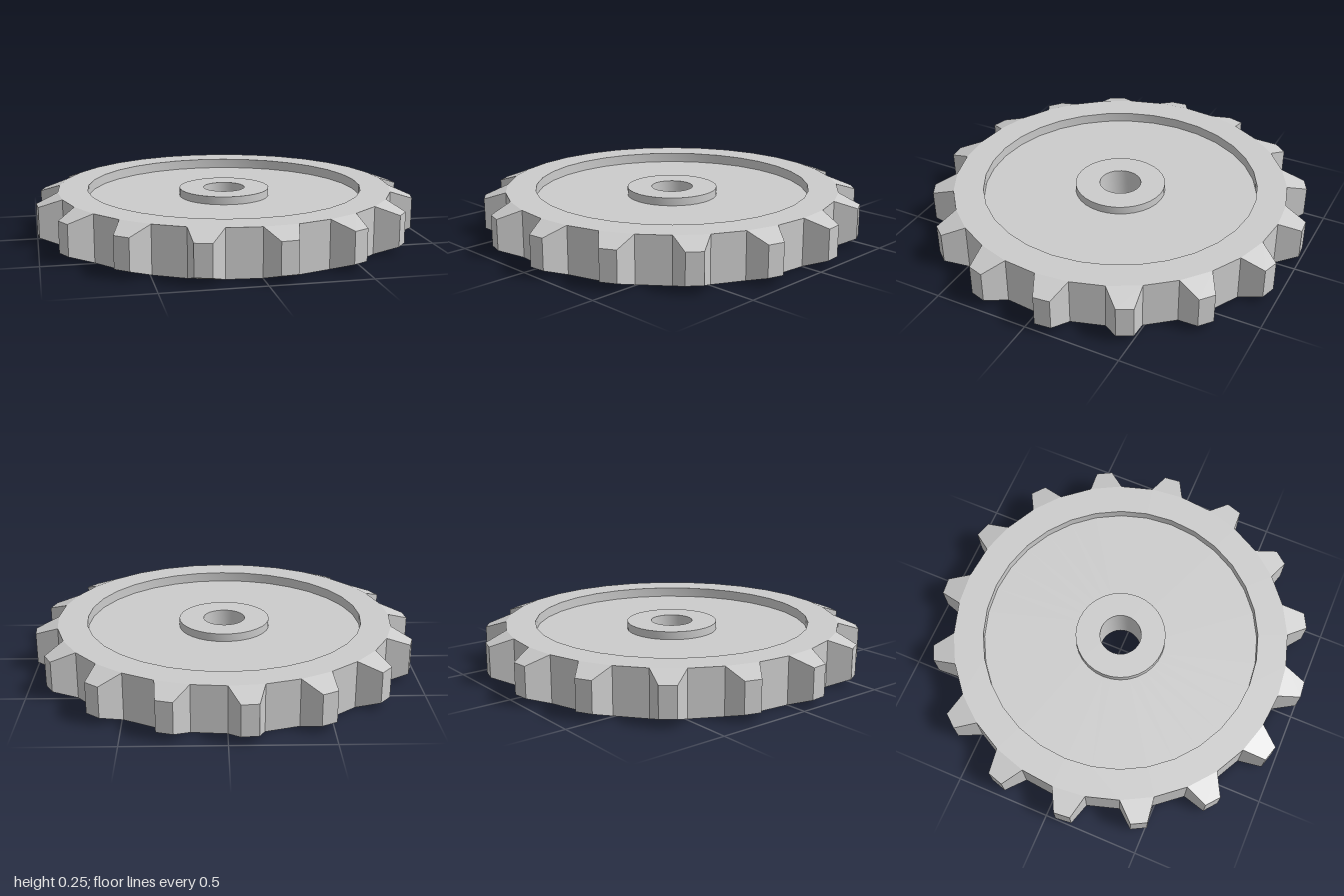
import * as THREE from 'three';
import { mergeGeometries, toCreasedNormals } from 'three/addons/utils/BufferGeometryUtils.js';

const SIDES = 32;            // 16 teeth and 16 gaps
const STEP = (Math.PI * 2) / SIDES;
const H = 0.245;             // full thickness
const R = { bore: 0.11, hub: 0.24, recess: 0.73, root: 0.887, tip: 1.0015 };
const WEB = [0.052, 0.193];  // lower and upper web faces
const HUB = [0.01, 0.235];   // lower and upper hub faces
const TIP = [0.042, 0.203];  // bevelled tooth tip
const TIP_HALF = 0.043;      // half the angle spanned by a tooth tip

export function createModel() {
  const group = new THREE.Group();
  group.name = 'sprocketWheel';
  const material = new THREE.MeshStandardMaterial({ color: 0xcccccc });

  const add = (name, geometry) => {
    const mesh = new THREE.Mesh(geometry, material);
    mesh.name = name;
    group.add(mesh);
  };

  // Turned surfaces from one or more [radius, y] profiles
  const turned = (...profiles) => toCreasedNormals(mergeGeometries(profiles.map((p) =>
    new THREE.LatheGeometry(p.map(([r, y]) => new THREE.Vector2(r, y)), SIDES))), 0.5);

  add('rim', turned(
    [[R.root, H], [R.recess, H], [R.recess, WEB[1]]],
    [[R.recess, WEB[0]], [R.recess, 0], [R.root, 0]]));
  add('web', turned(
    [[R.recess, WEB[1]], [R.hub, WEB[1]]],
    [[R.hub, WEB[0]], [R.recess, WEB[0]]]));
  add('hub', turned(
    [[R.hub, WEB[1]], [R.hub, HUB[1]], [R.bore, HUB[1]], [R.bore, HUB[0]],
      [R.hub, HUB[0]], [R.hub, WEB[0]]]));

  // Flat-faced geometry from a list of quads
  const faceted = (quads) => {
    const geometry = new THREE.BufferGeometry();
    const points = quads.flatMap(([a, b, c, d]) => [a, b, c, a, c, d]);
    geometry.setFromPoints(points);
    geometry.computeVertexNormals();
    return geometry;
  };

  // Vertical edge of the toothed outline: [lower point, upper point]
  const edge = (radius, angle, ys) => ys.map((y) =>
    new THREE.Vector3(radius * Math.sin(angle), y, radius * Math.cos(angle)));
  const wall = (p, q) => [p[0], q[0], q[1], p[1]];

  const gaps = [];
  const teeth = [];
  for (let i = 0; i < SIDES; i++) {
    const start = edge(R.root, i * STEP, [0, H]);
    const end = edge(R.root, (i + 1) * STEP, [0, H]);
    if (i % 2) {
      gaps.push(wall(start, end));
      continue;
    }
    const mid = (i + 0.5) * STEP;
    const t0 = edge(R.tip, mid - TIP_HALF, TIP);
    const t1 = edge(R.tip, mid + TIP_HALF, TIP);
    teeth.push(
      wall(start, t0), wall(t0, t1), wall(t1, end), // flanks and tip
      [t0[1], t1[1], end[1], start[1]],             // upper bevel
      [start[0], end[0], t1[0], t0[0]]);            // lower bevel
  }
  add('toothGaps', faceted(gaps));
  add('teeth', faceted(teeth));

  return group;
}
